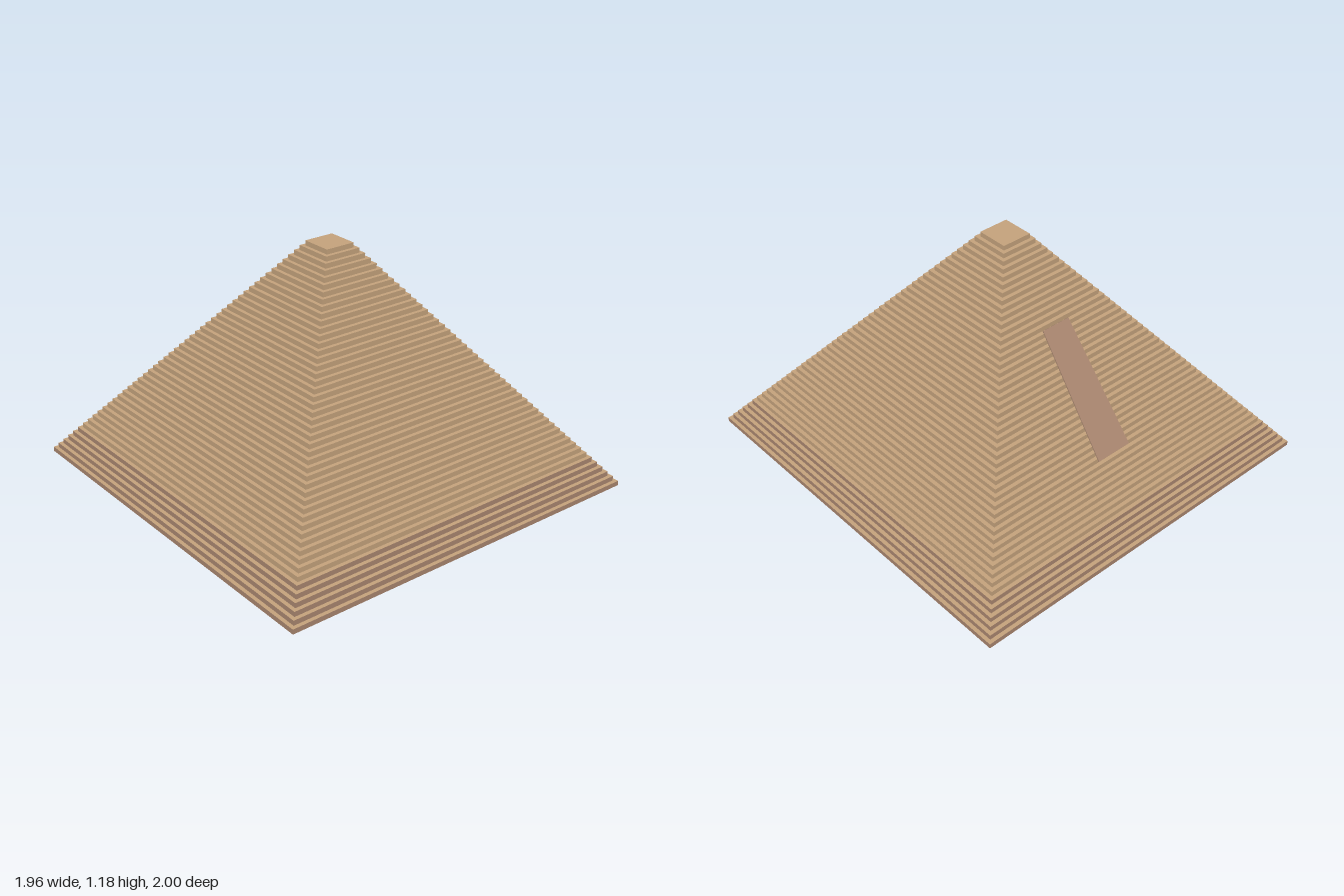
import * as THREE from 'three';

const STEPS = 49, HEIGHT = 1.18, RISE = HEIGHT / STEPS, BASE_STEPS = 6;
const BASE = { x: 0.98, z: 1.0 }, TOP = { x: 0.078, z: 0.08 };

// Half width of a step along one axis
const half = (axis, i) => THREE.MathUtils.lerp(BASE[axis], TOP[axis], i / (STEPS - 1));

// Corners of a step's outline at height y, counter-clockwise from above
function corners(i, y) {
  const x = half('x', i), z = half('z', i);
  return [[x, y, z], [x, y, -z], [-x, y, -z], [-x, y, z]];
}

// Four-sided band between a lower/outer loop and an upper/inner loop
function band(out, a, b) {
  for (let k = 0; k < 4; k++) {
    const n = (k + 1) % 4;
    out.push(...a[k], ...a[n], ...b[n], ...a[k], ...b[n], ...b[k]);
  }
}

function toMesh(name, positions, material) {
  const g = new THREE.BufferGeometry();
  g.setAttribute('position', new THREE.Float32BufferAttribute(positions, 3));
  g.computeVertexNormals();
  const mesh = new THREE.Mesh(g, material);
  mesh.name = name;
  return mesh;
}

export function createModel() {
  const sandstone = new THREE.MeshStandardMaterial({ color: 0xc4a27c, side: THREE.DoubleSide });
  sandstone.name = 'sandstone';
  const redStone = new THREE.MeshStandardMaterial({ color: 0xa9866f, side: THREE.DoubleSide });
  redStone.name = 'red stone';

  const group = new THREE.Group();
  group.name = 'steppedPyramid';

  // Hollow stepped shell: risers and treads
  const baseRisers = [], risers = [], treads = [];
  for (let i = 0; i < STEPS; i++) {
    const y = i * RISE, top = corners(i, y + RISE);
    band(i < BASE_STEPS ? baseRisers : risers, corners(i, y), top);
    if (i < STEPS - 1) band(treads, top, corners(i + 1, y + RISE));
    else treads.push(...top[0], ...top[1], ...top[2], ...top[0], ...top[2], ...top[3]);
  }
  group.add(
    toMesh('baseRisers', baseRisers, redStone),
    toMesh('upperRisers', risers, sandstone),
    toMesh('treadsAndSummit', treads, sandstone)
  );

  // Tapered ramp plate lying on the step edges of the back face
  const run = BASE.z - TOP.z, climb = HEIGHT - RISE;
  const zMid = 0.54, length = 0.4 * Math.hypot(run, climb) / run;
  const shape = new THREE.Shape([
    new THREE.Vector2(-0.096, -length / 2), new THREE.Vector2(0.096, -length / 2),
    new THREE.Vector2(0.078, length / 2), new THREE.Vector2(-0.078, length / 2)
  ]);
  const plate = new THREE.ExtrudeGeometry(shape, { depth: 0.006, bevelEnabled: false });
  plate.translate(0, 0, -0.002).rotateY(Math.PI).rotateX(Math.atan2(run, climb));
  const ramp = new THREE.Mesh(plate, redStone);
  ramp.name = 'backRamp';
  ramp.position.set(0, RISE + (BASE.z - zMid) / run * climb, -zMid);
  group.add(ramp);

  return group;
}
